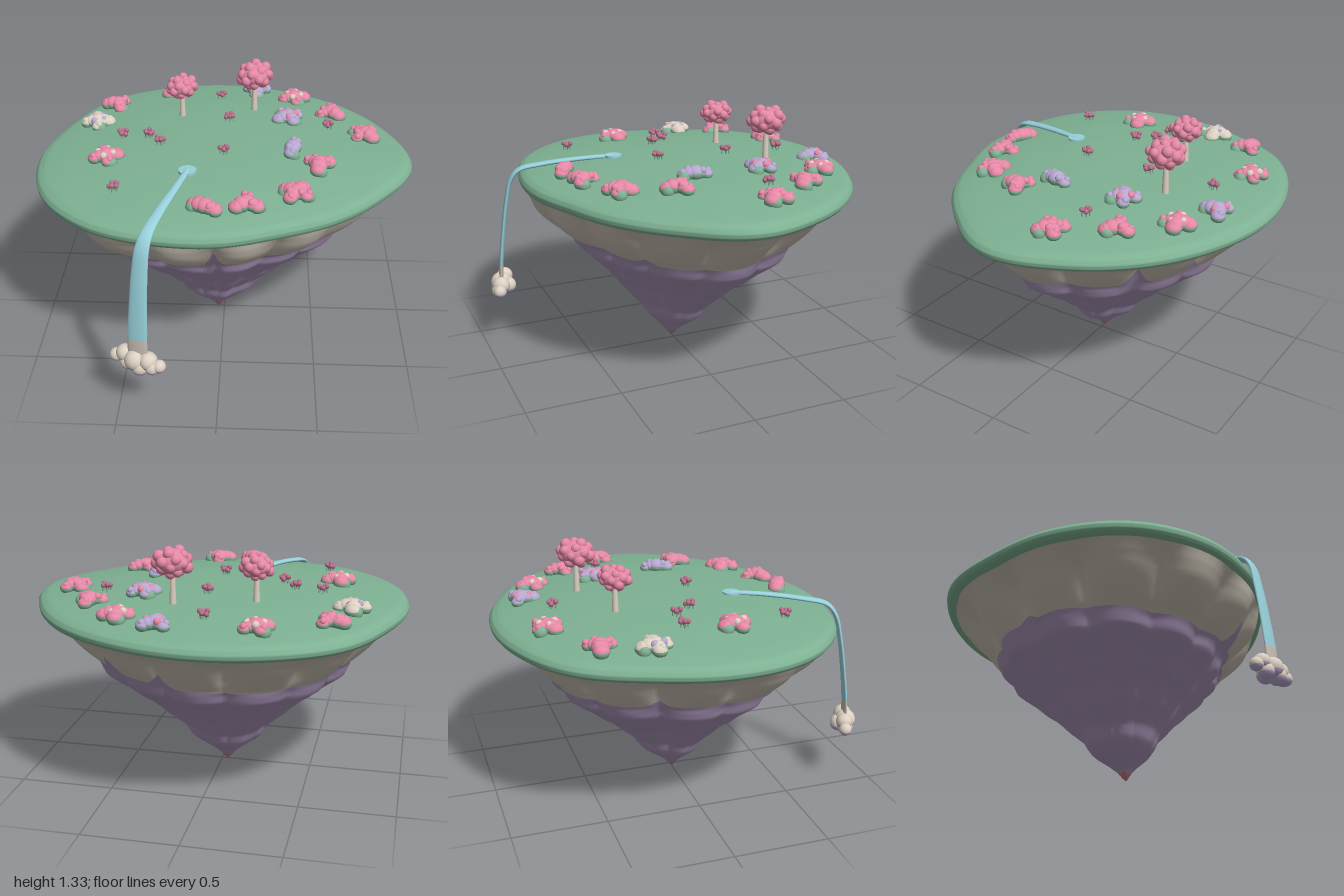
import * as THREE from 'three';
import { mergeGeometries } from 'three/addons/utils/BufferGeometryUtils.js';

const mat = (name, color, side = THREE.FrontSide) => {
  const m = new THREE.MeshStandardMaterial({ color, side });
  m.name = name;
  return m;
};

// Island outline: radius every 22.5 degrees, from +z towards +x
const RADII = [0.78, 0.745, 0.79, 0.87, 0.995, 0.975, 0.96, 0.95,
  0.965, 0.985, 1.01, 0.975, 0.99, 0.985, 0.925, 0.835];
const TAU = Math.PI * 2;
function outline(phi) {
  const n = RADII.length, u = (((phi / TAU) % 1) + 1) % 1 * n;
  const i = Math.floor(u), t = u - i, p = k => RADII[(i + k + n) % n];
  const a = p(-1), b = p(0), c = p(1), d = p(2);
  return b + 0.5 * t * (c - a + t * (2 * a - 5 * b + 4 * c - d + t * (3 * (b - c) + d - a)));
}

// Piecewise linear lookup in [key, value] pairs with ascending keys
function lookup(table, k) {
  for (let i = 1; i < table.length; i++) {
    const [k0, v0] = table[i - 1], [k1, v1] = table[i];
    if (k <= k1) return v0 + (v1 - v0) * Math.max(0, (k - k0) / (k1 - k0));
  }
  return table[table.length - 1][1];
}

// Closed surface of rings: point(t, phi) gives [x, y, z], t running 0..1
function loft(rows, cols, point) {
  const pos = [], idx = [];
  for (let i = 0; i <= rows; i++) {
    for (let j = 0; j < cols; j++) pos.push(...point(i / rows, j / cols * TAU));
  }
  for (let i = 0; i < rows; i++) {
    for (let j = 0; j < cols; j++) {
      const a = i * cols + j, b = i * cols + (j + 1) % cols;
      idx.push(a, a + cols, b, b, a + cols, b + cols);
    }
  }
  const g = new THREE.BufferGeometry();
  g.setAttribute('position', new THREE.Float32BufferAttribute(pos, 3));
  g.setIndex(idx);
  g.computeVertexNormals();
  return g;
}

// Grass profile (fraction of outline, height), from centre over the rim
const GRASS = [[0, 1.06], [0.3, 1.055], [0.6, 1.035], [0.85, 1.005], [0.95, 0.988], [0.985, 0.972],
  [1, 0.95], [0.997, 0.93], [0.985, 0.915], [0.965, 0.908], [0.92, 0.915]];
const ground = (x, z) => lookup(GRASS.slice(0, 7), Math.hypot(x, z) / outline(Math.atan2(x, z)));

// Rock profile (height, fraction of outline) with worn ledges
const ROCK = [[0, 0], [0.02, 0.02], [0.06, 0.055], [0.1, 0.105], [0.15, 0.175], [0.18, 0.205], [0.24, 0.24],
  [0.28, 0.285], [0.33, 0.345], [0.37, 0.385], [0.41, 0.43], [0.45, 0.49], [0.51, 0.56], [0.56, 0.63],
  [0.59, 0.67], [0.63, 0.69], [0.67, 0.71], [0.71, 0.75], [0.77, 0.805], [0.84, 0.865], [0.89, 0.92], [0.92, 0.96]];
const LOBES = 13, GROOVE = -0.035;
function rockPoint(y, phi) {
  const lobe = Math.abs(Math.sin(LOBES * (phi - GROOVE) / 2)) ** 0.7 - 0.75;
  const stone = Math.min(1, Math.max(0, (y - 0.64) / 0.05)), low = Math.min(1, y / 0.4);
  const cushion = 0.1 * Math.sin(Math.PI * Math.min(1, (0.92 - y) / 0.28));
  // Fuller cushions at the front, slimmer rock below them
  const front = Math.max(0, Math.cos(phi));
  const belly = front * (0.075 * stone * Math.sin(Math.PI * (y - 0.66) / 0.26) - 0.04 * (1 - stone));
  // Ledges rise and fall gently around the cone
  const shift = 0.008 * Math.sin(Math.PI * Math.min(1, y / 0.66)) * (Math.sin(4 * phi + 1) + 0.6 * Math.sin(7 * phi));
  const f = lookup(ROCK, y + shift);
  const r = outline(phi) * f * (1 + belly + (stone * cushion + (1 - stone) * low * 0.065) * lobe);
  return [Math.sin(phi) * r - 0.03 * (1 - f), y, Math.cos(phi) * r];
}
// Edge between pale stone and purple rock, rising to spikes in some grooves
const SPIKES = [[0, 0.16], [5, 0.12], [6, 0.07], [9, 0.04], [2, 0.03]];
function edge(phi) {
  let y = 0.668 + 0.012 * Math.sin(3 * phi + 1);
  for (const [k, h] of SPIKES) {
    const d = phi - GROOVE - k * TAU / LOBES, a = Math.abs(Math.atan2(Math.sin(d), Math.cos(d)));
    y += h * Math.max(0, 1 - a / 0.11) ** 1.5;
  }
  return y;
}

// Part of a ball between two polar angles
const ball = (r, p, from = 0, to = Math.PI, sy = 1) =>
  new THREE.SphereGeometry(r, 14, 8, 0, TAU, from, to - from).scale(1, sy, 1).translate(...p);

export function createModel() {
  const model = new THREE.Group();
  model.name = 'floatingIsland';
  const M = {
    grass: mat('grass green', 0x7eb193),
    stone: mat('pale stone', 0xc8c0b2),
    rock: mat('purple rock', 0xa793b6),
    pink: mat('blossom pink', 0xe689a6),
    lilac: mat('lilac', 0xb8a7d0),
    cream: mat('cream', 0xdcd1c2),
    water: mat('water blue', 0x98d1db, THREE.DoubleSide),
    mist: mat('mist', 0xc9beb4, THREE.DoubleSide),
    rose: mat('dull rose', 0xb8708a),
    tip: mat('red tip', 0xc4787e),
  };
  const add = (parent, name, geometry, material) => {
    const m = new THREE.Mesh(Array.isArray(geometry) ? mergeGeometries(geometry) : geometry, material);
    m.name = name;
    parent.add(m);
  };
  const group = (name, x, y, z, turn = 0) => {
    const g = new THREE.Group();
    g.name = name;
    g.position.set(x, y, z);
    g.rotation.y = turn;
    model.add(g);
    return g;
  };

  // Island body
  add(model, 'grassTop', loft(40, 112, (t, phi) => {
    const u = t * (GRASS.length - 1), i = Math.min(Math.floor(u), GRASS.length - 2), k = u - i;
    const [f, y] = [0, 1].map(c => GRASS[i][c] * (1 - k) + GRASS[i + 1][c] * k);
    const r = f * outline(phi);
    return [Math.sin(phi) * r, y, Math.cos(phi) * r];
  }), M.grass);
  const TIP = 0.04;
  add(model, 'stoneBand', loft(16, 208, (t, phi) => rockPoint(0.92 + (edge(phi) - 0.92) * t, phi)), M.stone);
  add(model, 'rockCone', loft(44, 208, (t, phi) => rockPoint(edge(phi) + (TIP - edge(phi)) * t, phi)), M.rock);
  add(model, 'rockTip', loft(4, 52, (t, phi) => rockPoint(TIP * (1 - t), phi)), M.tip);

  // Bushes: x, z, lobes, main colour, accent colour, turn
  const bushes = [
    [-0.31, -0.73, 4, 'pink', 'cream', 0.6], [0.16, -0.77, 3, 'lilac', 'pink', 0.5],
    [0.38, -0.67, 4, 'pink', 'cream', 0.2], [-0.64, -0.55, 3, 'pink', 'pink', 0.9],
    [0.58, -0.47, 3, 'pink', 'pink', 1.4], [-0.72, -0.31, 4, 'cream', 'lilac', 0.1],
    [0.34, -0.35, 4, 'lilac', 'pink', 0.5], [0.75, -0.21, 4, 'pink', 'pink', 0.8],
    [-0.61, 0.13, 4, 'pink', 'cream', 0.3], [0.36, 0.035, 2, 'lilac', 'lilac', 1.35],
    [0.49, 0.18, 3, 'pink', 'pink', 0.4], [0.37, 0.44, 4, 'pink', 'pink', 1.0],
    [0.13, 0.55, 3, 'pink', 'pink', 1.6], [-0.07, 0.59, 2, 'pink', 'pink', -0.5],
  ];
  bushes.forEach(([x, z, n, main, accent, turn], b) => {
    const g = group('bush', x, ground(x, z) + 0.012, z, turn);
    const CUT = 1.45, flowers = [ball(0.046, [0, 0.01, 0], 0, CUT, 0.85)];
    const leaves = [ball(0.046, [0, 0.01, 0], CUT, Math.PI, 0.85)], accents = [];
    for (let k = 0; k < n; k++) {
      const a = k * TAU / n, r = 0.035 + 0.005 * ((k + b) % 3), s = Math.sin(a), c = Math.cos(a);
      // Each lobe is a chain of a large and a small puff with a leafy underside
      for (const [d, q, y] of [[0.03, r, 0.008], [0.058, r * 0.92, 0]]) {
        flowers.push(ball(q, [c * d, y, s * d], 0, CUT, 0.85));
        leaves.push(ball(q, [c * d, y, s * d], CUT, Math.PI, 0.85));
      }
      flowers.push(ball(0.018, [c * 0.066 + s * 0.01, 0.018, s * 0.066 - c * 0.01]));
      accents.push(ball(0.02, [c * 0.035 - s * 0.016, 0.025, s * 0.035 + c * 0.016]));
      if (k % 2) leaves.push(ball(0.034, [c * 0.06 + s * 0.016, -0.008, s * 0.06 - c * 0.016]));
    }
    add(g, 'bushBlossom', flowers, M[main]);
    add(g, 'bushAccent', accents, M[accent]);
    add(g, 'bushLeaves', leaves, M.grass);
  });

  // Bumpy crown: knobs of mixed size around an ellipsoid
  const crown = (y, rx, ry, n) => {
    const parts = [ball(rx * 0.88, [0, 0, 0], 0, Math.PI, ry / rx).translate(0, y, 0)];
    for (let k = 0; k < n; k++) {
      const h = 1 - 2 * (k + 0.5) / n, s = Math.sqrt(1 - h * h), a = k * 2.4, d = 0.7 + 0.05 * (k % 3);
      parts.push(ball(rx * (0.25 + 0.05 * (k * 7 % 4) / 3),
        [Math.cos(a) * s * rx * d, y + h * ry * d, Math.sin(a) * s * rx * d]));
    }
    return parts;
  };
  for (const [x, z, top, rx, ry] of [[0.15, -0.475, 1.253, 0.102, 0.074], [-0.25, -0.37, 1.223, 0.087, 0.06]]) {
    const y = ground(x, z), h = top - y, g = group('tree', x, y, z);
    add(g, 'treeTrunk', new THREE.CylinderGeometry(0.011, 0.018, h, 12).translate(0, h / 2 - 0.01, 0), M.cream);
    add(g, 'treeCrown', crown(h, rx, ry, 24), M.pink);
  }

  // Little flower tufts
  const tufts = [[-0.045, -0.645], [0.015, -0.3], [0.56, -0.275], [-0.55, -0.11],
    [-0.41, -0.1], [-0.34, -0.01], [0, 0.09], [-0.53, 0.43]];
  tufts.forEach(([x, z], i) => {
    const g = group('flowerTuft', x, ground(x, z), z, i);
    const stems = [], heads = [];
    for (let k = 0; k < 6; k++) {
      const a = k * TAU / 5, r = k ? 0.02 : 0.003, h = 0.022 + 0.006 * (k % 3);
      stems.push(new THREE.CylinderGeometry(0.003, 0.004, h, 6).translate(Math.cos(a) * r, h / 2, Math.sin(a) * r));
      heads.push(ball(0.013, [Math.cos(a) * r, h + 0.002, Math.sin(a) * r]));
    }
    add(g, 'tuftStems', stems, M.grass);
    add(g, 'tuftFlowers', heads, M.rose);
  });

  // Stream and waterfall: a flattened tube widening along its path
  const path = new THREE.CatmullRomCurve3([[-0.175, 1.055, 0.28], [-0.23, 1.043, 0.46], [-0.29, 1.02, 0.64],
    [-0.33, 0.99, 0.765], [-0.35, 0.93, 0.81], [-0.365, 0.8, 0.838], [-0.378, 0.6, 0.865],
    [-0.385, 0.45, 0.88], [-0.387, 0.34, 0.885]].map(p => new THREE.Vector3(...p)));
  const across = new THREE.Vector3(0.96, 0, 0.28).normalize();
  const stream = (t0, t1) => loft(40, 16, (t, phi) => {
    const u = t0 + (t1 - t0) * t, tan = path.getTangent(u), up = tan.clone().cross(across).normalize();
    const w = 0.016 + 0.036 * Math.min(1, u * 1.2);
    return path.getPoint(u).addScaledVector(across, Math.cos(phi) * w).addScaledVector(up, Math.sin(phi) * 0.012).toArray();
  });
  add(model, 'waterfall', stream(0, 0.875), M.water);
  add(model, 'waterfallMist', stream(0.875, 1), M.mist);
  add(model, 'spring', new THREE.CylinderGeometry(0.046, 0.046, 0.014, 28).translate(-0.175, 1.054, 0.28), M.water);

  // Foam puffs at the foot of the fall: x, y, z, radius
  const foam = [[-0.5, 0.32, 0.835, 0.034], [-0.455, 0.345, 0.85, 0.044], [-0.44, 0.305, 0.865, 0.042],
    [-0.4, 0.33, 0.885, 0.056], [-0.375, 0.3, 0.9, 0.046], [-0.335, 0.335, 0.9, 0.048],
    [-0.315, 0.31, 0.915, 0.04], [-0.28, 0.32, 0.92, 0.034], [-0.39, 0.31, 0.85, 0.046]];
  add(model, 'foamTop', foam.map(([x, y, z, r]) => ball(r, [x, y, z], 0, 1.85)), M.cream);
  add(model, 'foamUnderside', foam.map(([x, y, z, r]) => ball(r, [x, y, z], 1.85, Math.PI)), M.lilac);
  return model;
}
